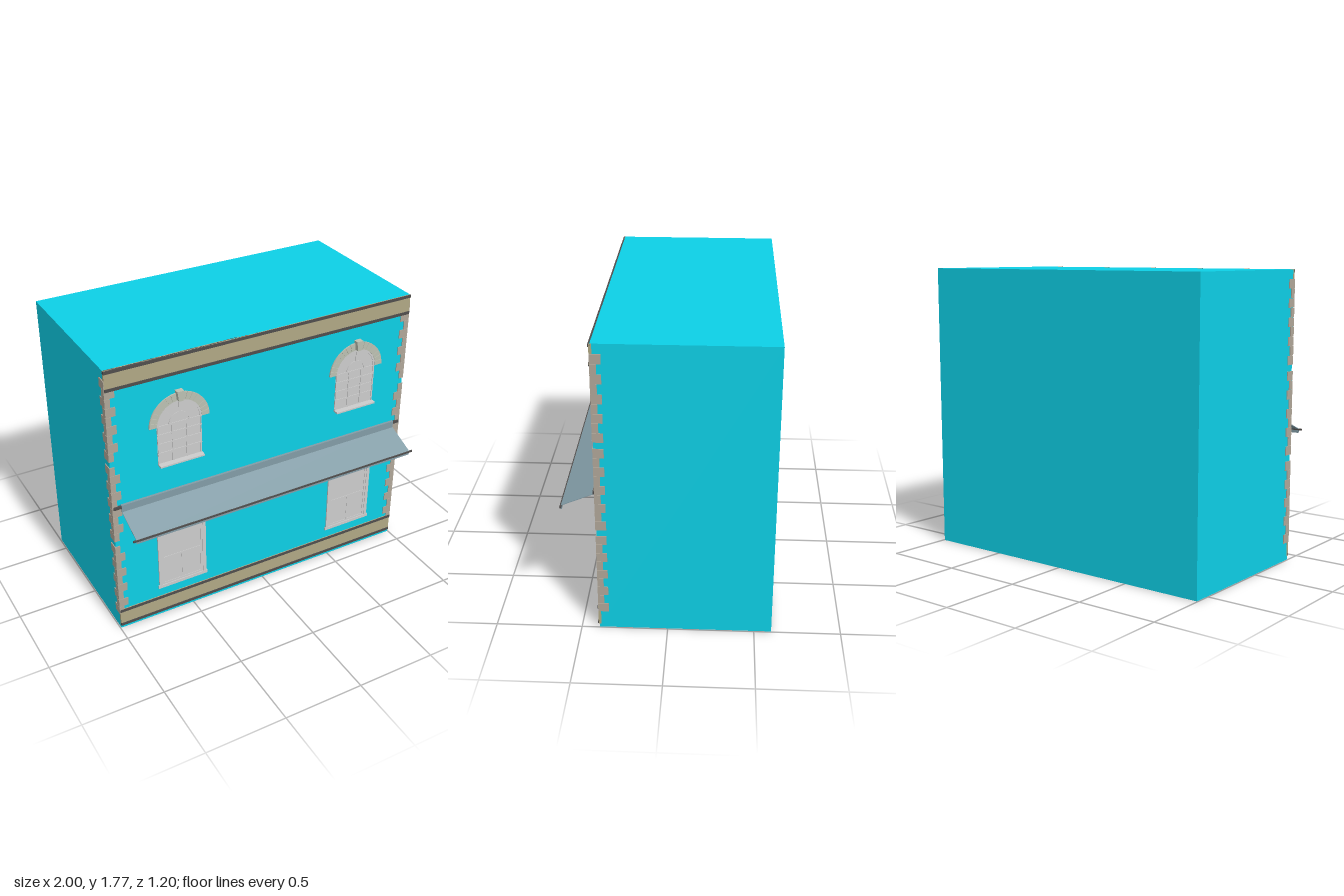
import * as THREE from 'three';

const mat = (color, side = THREE.FrontSide) =>
  new THREE.MeshStandardMaterial({ color, side, flatShading: true });

const M = {
  wall: mat(0x0dcfe6),
  band: mat(0xb0a884),
  trim: mat(0x504d4c),
  quoin: mat(0xb0a698),
  stone: mat(0xbcc0b2),
  grey: mat(0xcccccc),
  awning: mat(0x829ca6, THREE.DoubleSide),
};

const FRONT = 0.396; // plane of the front wall

function add(parent, name, geometry, material) {
  const mesh = new THREE.Mesh(geometry, material);
  mesh.name = name;
  parent.add(mesh);
  return mesh;
}

// Box given by its limits on each axis
function block(parent, name, [x0, x1], [y0, y1], [z0, z1], material) {
  const mesh = add(parent, name, new THREE.BoxGeometry(x1 - x0, y1 - y0, z1 - z0), material);
  mesh.position.set((x0 + x1) / 2, (y0 + y1) / 2, (z0 + z1) / 2);
  return mesh;
}

function group(parent, name, x = 0, y = 0, z = 0) {
  const g = new THREE.Group();
  g.name = name;
  g.position.set(x, y, z);
  parent.add(g);
  return g;
}

const extrude = (shape, depth, curveSegments = 16) =>
  new THREE.ExtrudeGeometry(shape, { depth, bevelEnabled: false, curveSegments });

// Ring sector between two radii and two angles
function sector(r0, r1, a0, a1) {
  const s = new THREE.Shape();
  s.absarc(0, 0, r1, a0, a1, false);
  s.absarc(0, 0, r0, a1, a0, true);
  s.closePath();
  return s;
}

// Horizontal band edged with two dark mouldings
function facadeBand(parent, name, y0, y1) {
  const g = group(parent, name);
  block(g, 'bandFace', [-0.995, 0.995], [y0, y1], [FRONT - 0.01, 0.402], M.band);
  for (const y of [y0, y1 - 0.018])
    block(g, 'bandMoulding', [-0.995, 0.995], [y, y + 0.018], [FRONT - 0.01, 0.406], M.trim);
}

// Corner stones, alternately long on the side and long on the front
function quoinColumn(parent, side) {
  const g = group(parent, side < 0 ? 'rightQuoins' : 'leftQuoins');
  const h = 0.0567;
  for (let run = 0; run < 3; run++) {
    for (let i = 0; i < 9; i++) {
      const longSide = i % 2 === 0;
      const y = 0.11 + run * 0.547 + i * h;
      const width = longSide ? 0.032 : 0.06;
      const x = side < 0 ? [-0.999, -0.999 + width] : [0.999 - width, 0.999];
      block(g, 'quoin', x, [y + 0.001, y + h - 0.001], [longSide ? 0.34 : 0.365, 0.401], M.quoin);
    }
  }
}

// Round-headed window; local origin is the centre of its arch
function archedWindow(parent, name, x, y) {
  const g = group(parent, name, x, y, FRONT);
  const r = 0.14, drop = -0.25;

  const pane = new THREE.Shape();
  pane.moveTo(-r, drop);
  pane.lineTo(r, drop);
  pane.lineTo(r, 0);
  pane.absarc(0, 0, r, 0, Math.PI, false);
  pane.closePath();
  add(g, 'pane', extrude(pane, 0.002), M.grey);

  // Glazing bars and frame
  const bar = [0, 0.006];
  for (const bx of [-r + 0.006, -0.045, 0.045, r - 0.006])
    block(g, 'verticalBar', [bx - 0.004, bx + 0.004], [drop, 0], bar, M.grey);
  for (const by of [drop + 0.075, -0.115, -0.055, 0])
    block(g, 'horizontalBar', [-r, r], [by - 0.004, by + 0.004], bar, M.grey);
  add(g, 'archFrame', extrude(sector(r - 0.012, r, 0, Math.PI), 0.006), M.grey);
  add(g, 'fanArc', extrude(sector(0.058, 0.066, 0, Math.PI), 0.006), M.grey);
  for (const a of [0.25, 0.5, 0.75]) {
    const spoke = add(g, 'fanBar', new THREE.BoxGeometry(0.075, 0.007, 0.006), M.grey);
    spoke.position.set(Math.cos(a * Math.PI) * 0.098, Math.sin(a * Math.PI) * 0.098, 0.003);
    spoke.rotation.z = a * Math.PI;
  }

  // Stone arch with separate voussoirs
  add(g, 'archBacking', extrude(sector(r, 0.187, 0, Math.PI), 0.005), M.stone);
  const count = 17, step = Math.PI / count;
  for (let i = 0; i < count; i++)
    add(g, 'voussoir', extrude(sector(r, 0.188, i * step + 0.008, (i + 1) * step - 0.008), 0.009, 3), M.stone);

  const key = new THREE.Shape([
    new THREE.Vector2(-0.013, 0.145), new THREE.Vector2(0.013, 0.145),
    new THREE.Vector2(0.021, 0.207), new THREE.Vector2(-0.021, 0.207),
  ]);
  add(g, 'keystone', extrude(key, 0.034), M.stone);
  block(g, 'sill', [-r, r], [drop - 0.002, drop + 0.008], [0, 0.038], M.grey);
}

// Square-headed sash window; local origin is at ground level
function sashWindow(parent, name, x) {
  const g = group(parent, name, x, 0, FRONT);
  block(g, 'pane', [-0.142, 0.142], [0.22, 0.615], [0, 0.002], M.grey);
  for (const s of [-1, 1]) {
    block(g, 'jamb', s < 0 ? [-0.16, -0.138] : [0.138, 0.16], [0.22, 0.61], [0, 0.008], M.grey);
    block(g, 'sashStile', s < 0 ? [-0.138, -0.124] : [0.124, 0.138], [0.225, 0.61], [0, 0.005], M.grey);
  }
  for (const y of [0.225, 0.415, 0.595])
    block(g, 'sashRail', [-0.138, 0.138], [y, y + 0.014], [0, 0.005], M.grey);
  block(g, 'mullion', [-0.004, 0.004], [0.225, 0.415], [0, 0.004], M.grey);
  block(g, 'lintel', [-0.19, 0.19], [0.607, 0.631], [0, 0.01], M.grey);
  block(g, 'sill', [-0.167, 0.167], [0.205, 0.226], [0, 0.01], M.grey);
}

// Sloping canopy with its wall rail, flashing and front rail
function awning(parent) {
  const g = group(parent, 'awning');
  const y0 = 0.78, y1 = 0.865, z0 = 0.6, z1 = FRONT;
  const sheet = add(g, 'awningSheet',
    new THREE.BoxGeometry(1.89, 0.004, Math.hypot(y1 - y0, z0 - z1)), M.awning);
  sheet.position.set(0, (y0 + y1) / 2, (z0 + z1) / 2);
  sheet.rotation.x = Math.atan2(y1 - y0, z0 - z1);
  block(g, 'flashing', [-0.945, 0.945], [0.86, 0.905], [FRONT, 0.412], M.awning);
  block(g, 'wallRail', [-0.992, 0.992], [0.883, 0.9], [FRONT, 0.41], M.trim);
  block(g, 'frontRail', [-0.965, 0.965], [0.774, 0.784], [0.592, 0.602], M.trim);
  block(g, 'valance', [-0.945, 0.945], [0.757, 0.775], [0.592, 0.596], M.awning);
}

export function createModel() {
  const model = new THREE.Group();
  model.name = 'building';

  block(model, 'walls', [-0.994, 0.994], [0, 1.77], [-0.6, FRONT], M.wall);
  facadeBand(model, 'baseBand', 0.022, 0.143);
  facadeBand(model, 'corniceBand', 1.645, 1.77);
  for (const side of [-1, 1]) quoinColumn(model, side);

  archedWindow(model, 'upperRightWindow', -0.562, 1.342);
  archedWindow(model, 'upperLeftWindow', 0.628, 1.352);
  sashWindow(model, 'lowerRightWindow', -0.57);
  sashWindow(model, 'lowerLeftWindow', 0.635);

  awning(model);
  return model;
}
